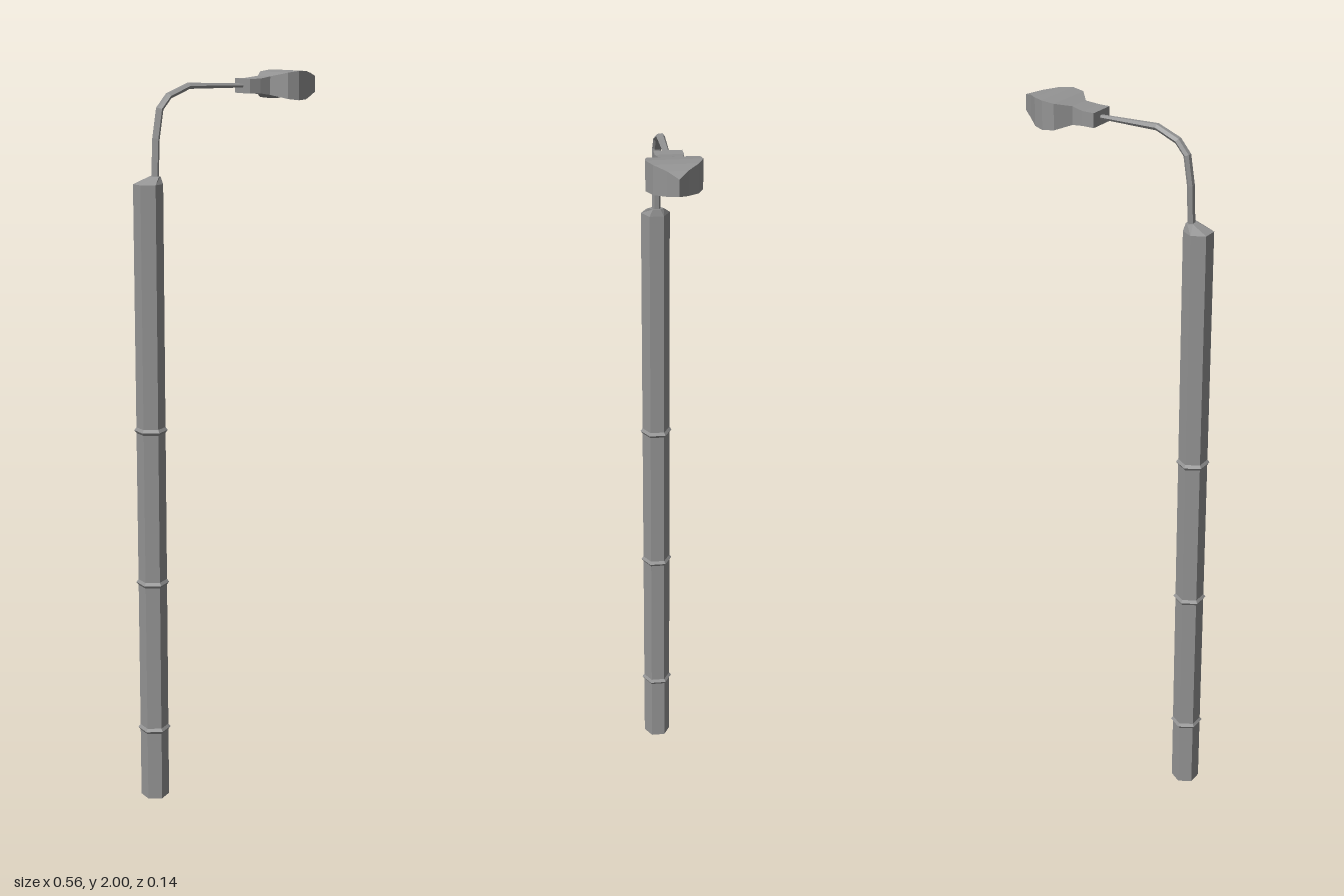
import * as THREE from 'three';

const grey = new THREE.MeshStandardMaterial({ color: 0x949494, flatShading: true, side: THREE.DoubleSide });
const Z0 = -0.002; // depth of the lamp's centre plane

// Skin a row of cross-sections (right-handed about the direction of travel), closing both ends
function loft(rings) {
  const pos = [];
  const tri = (a, b, c) => pos.push(...a, ...b, ...c);
  const n = rings[0].length;
  for (let i = 0; i < rings.length - 1; i++) {
    for (let j = 0; j < n; j++) {
      const k = (j + 1) % n;
      const [a, b, c, d] = [rings[i][j], rings[i][k], rings[i + 1][k], rings[i + 1][j]];
      tri(a, b, c);
      tri(a, c, d);
    }
  }
  const first = rings[0], last = rings[rings.length - 1];
  for (let j = 1; j < n - 1; j++) {
    tri(first[0], first[j + 1], first[j]);
    tri(last[0], last[j], last[j + 1]);
  }
  const g = new THREE.BufferGeometry();
  g.setAttribute('position', new THREE.Float32BufferAttribute(pos, 3));
  g.computeVertexNormals();
  return g;
}

// Six-sided ring at (x, y), facing along (dx, dy); rn lies in the bend plane, rz in depth
function hexRing(x, y, dx, dy, rn, rz) {
  const l = Math.hypot(dx, dy);
  return Array.from({ length: 6 }, (_, j) => {
    const a = (j + 0.5) * Math.PI / 3;
    const u = Math.cos(a) * rn / l;
    return [x - dy * u, y + dx * u, Z0 + Math.sin(a) * rz];
  });
}

export function createModel() {
  const group = new THREE.Group();
  const add = (name, geometry) => {
    const mesh = new THREE.Mesh(geometry, grey);
    mesh.name = name;
    group.add(mesh);
    return mesh;
  };

  // Hexagonal pole with three thin raised ridges
  const R = 0.039, poleX = -0.242;
  const profile = [[0, 0], [R, 0]];
  for (const y of [0.205, 0.635, 1.065]) {
    profile.push([R, y - 0.008], [0.045, y], [R, y + 0.008]);
  }
  profile.push([R, 1.72]);
  const pole = add('pole', new THREE.LatheGeometry(profile.map(p => new THREE.Vector2(...p)), 6));
  pole.position.set(poleX, 0, Z0);

  // Sloped cap leaning to the foot of the arm
  add('poleCap', loft([
    hexRing(poleX, 1.72, 0, 1, R, R),
    hexRing(-0.221, 1.739, 0, 1, 0.012, 0.02),
  ]));

  // Bent, tapering arm: x, y, half thickness, half depth
  const path = [
    [-0.221, 1.735, 0.009, 0.012], [-0.217, 1.835, 0.009, 0.012],
    [-0.205, 1.91, 0.009, 0.012], [-0.178, 1.942, 0.009, 0.012],
    [-0.118, 1.966, 0.009, 0.011], [0.055, 1.963, 0.006, 0.007],
  ];
  add('arm', loft(path.map(([x, y, rn, rz], i) => {
    const a = path[Math.max(i - 1, 0)], b = path[Math.min(i + 1, path.length - 1)];
    return hexRing(x, y, b[0] - a[0], b[1] - a[1], rn, rz);
  })));

  // Leaf-shaped lamp head with a hollowed underside: x, half width, half height
  const head = [
    [0.047, 0.036, 0.019], [0.08, 0.036, 0.019], [0.115, 0.03, 0.024],
    [0.147, 0.066, 0.034], [0.18, 0.07, 0.038], [0.213, 0.055, 0.037],
    [0.247, 0.025, 0.031], [0.281, 0, 0.021],
  ];
  const cy = 1.962, zc = -0.001;
  add('lampHead', loft(head.map(([x, w, h]) => [
    [x, cy - Math.min(h, 0.021), zc],
    [x, cy - h, zc - w], [x, cy + h, zc - w],
    [x, cy + h, zc + w], [x, cy - h, zc + w],
  ])));

  return group;
}
